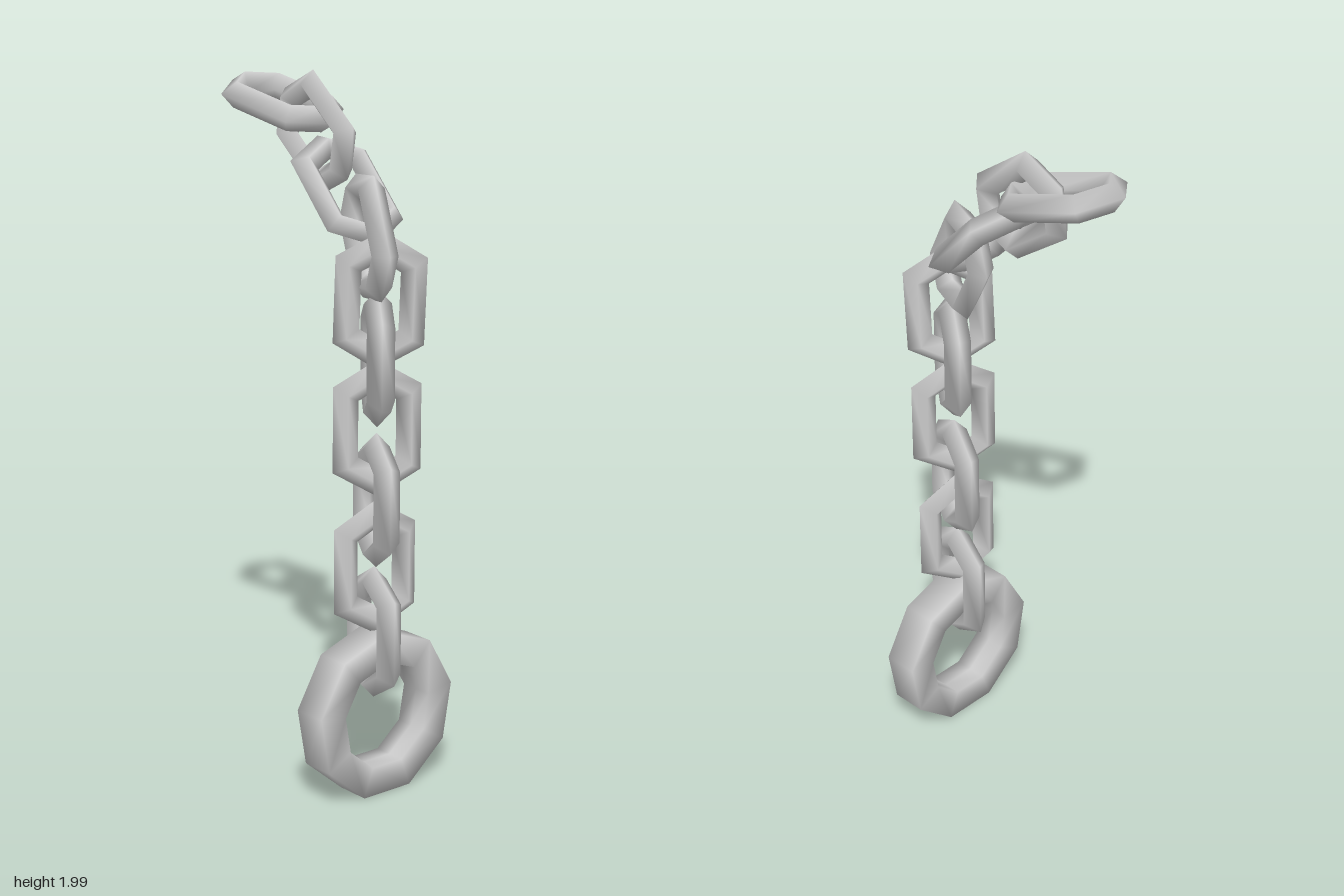
import * as THREE from 'three';

const material = new THREE.MeshStandardMaterial({ color: 0xcccccc });

// Six-sided link with a diamond section, stretched along local x
function linkGeometry() {
  const geo = new THREE.TorusGeometry(0.102, 0.041, 4, 6);
  const pos = geo.attributes.position;
  for (let i = 0; i < pos.count; i++) {
    pos.setX(i, pos.getX(i) + Math.sign(pos.getX(i)) * 0.049);
    pos.setZ(i, pos.getZ(i) * 0.93);
  }
  return geo;
}

// Nine-sided ring with a square section, one corner pointing up
function ringGeometry() {
  const inner = 0.155, outer = 0.243, h = 0.052;
  const profile = [[inner, 0], [inner, -h], [outer, -h], [outer, h], [inner, h], [inner, 0]]
    .map(([x, y]) => new THREE.Vector2(x, y));
  return new THREE.LatheGeometry(profile, 9).rotateX(-Math.PI / 2);
}

// Width direction of a hanging link turned by some degrees about y
const turn = (deg) => {
  const t = THREE.MathUtils.degToRad(deg);
  return [Math.cos(t), 0, Math.sin(t)];
};

export function createModel() {
  const group = new THREE.Group();

  const ring = new THREE.Mesh(ringGeometry(), material);
  ring.name = 'endRing';
  ring.position.set(0, 0.228, 0.247);
  group.add(ring);

  // Links from bottom to top: centre, long axis, width axis
  const links = [
    [[-0.005, 0.46, 0.243], [0, 1, 0], turn(103)],
    [[-0.005, 0.65, 0.245], [0, 1, 0], turn(15)],
    [[0, 0.84, 0.244], [0, 1, 0], turn(112)],
    [[0, 1.045, 0.246], [0, 1, 0], turn(27)],
    [[0, 1.24, 0.246], [0, 1, 0], turn(125)],
    [[0, 1.4, 0.255], [0, 1, 0.05], turn(37)],
    [[0, 1.566, 0.206], [0.08, 0.31, -0.2], [-0.18, 0.53, 0.5]],
    [[0.013, 1.68, 0.1], [0.04, 0.7, -0.7], [0.25, -0.01, 0.048]],
    [[0.012, 1.823, -0.033], [0.035, 0.235, -0.33], [0.02, 0.82, 0.57]],
    [[0.01, 1.898, -0.175], [-0.07, 0.095, -0.35], [0.25, 0.022, -0.064]],
  ];
  const geo = linkGeometry();
  links.forEach(([centre, axis, width], i) => {
    const a = new THREE.Vector3(...axis).normalize();
    const n = a.clone().cross(new THREE.Vector3(...width)).normalize();
    const w = n.clone().cross(a);
    const link = new THREE.Mesh(geo, material);
    link.name = `chainLink${i + 1}`;
    link.quaternion.setFromRotationMatrix(new THREE.Matrix4().makeBasis(a, w, n));
    link.position.set(...centre);
    group.add(link);
  });

  return group;
}
